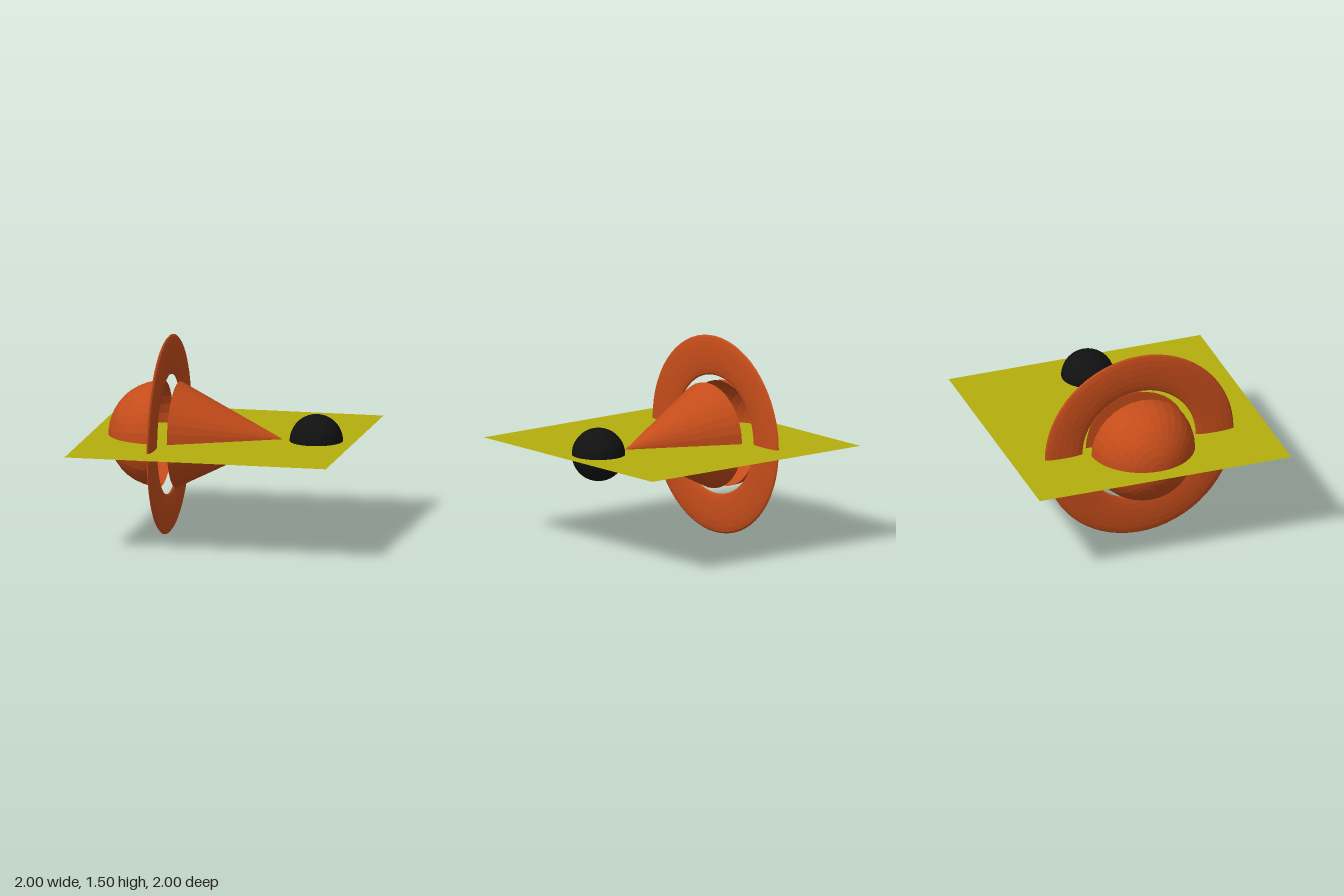
import * as THREE from 'three';

const AXIS_Y = 0.75; // height shared by every part

function material(color, flatShading = true) {
  return new THREE.MeshStandardMaterial({ color, flatShading, side: THREE.DoubleSide });
}

export function createModel() {
  const model = new THREE.Group();
  const orange = material(0xc44c1a);

  function add(name, geometry, mat, x) {
    const mesh = new THREE.Mesh(geometry, mat);
    mesh.name = name;
    mesh.position.set(x, AXIS_Y, 0);
    model.add(mesh);
  }

  // Thin square sheet cutting through the middle of the solids
  add('plane', new THREE.PlaneGeometry(2, 2).rotateX(-Math.PI / 2), material(0xb4ae0e), 0);

  // Open half sphere with its dome towards -x
  const dome = new THREE.SphereGeometry(0.4, 32, 10, 0, Math.PI * 2, 0, Math.PI / 2);
  add('hemisphere', dome.rotateZ(Math.PI / 2), orange, -0.475);

  // Torus flattened along x into a lens-shaped ring
  const ring = new THREE.TorusGeometry(0.6, 0.15, 16, 64).rotateY(Math.PI / 2).scale(1 / 6, 1, 1);
  add('ring', ring, orange, -0.42);

  // Cone pointing to +x
  add('cone', new THREE.ConeGeometry(0.4, 0.8, 32).rotateZ(-Math.PI / 2), orange, 0.05);

  // Ball beyond the tip of the cone
  add('ball', new THREE.SphereGeometry(0.2, 32, 32), material(0x111111), 0.707);

  return model;
}
